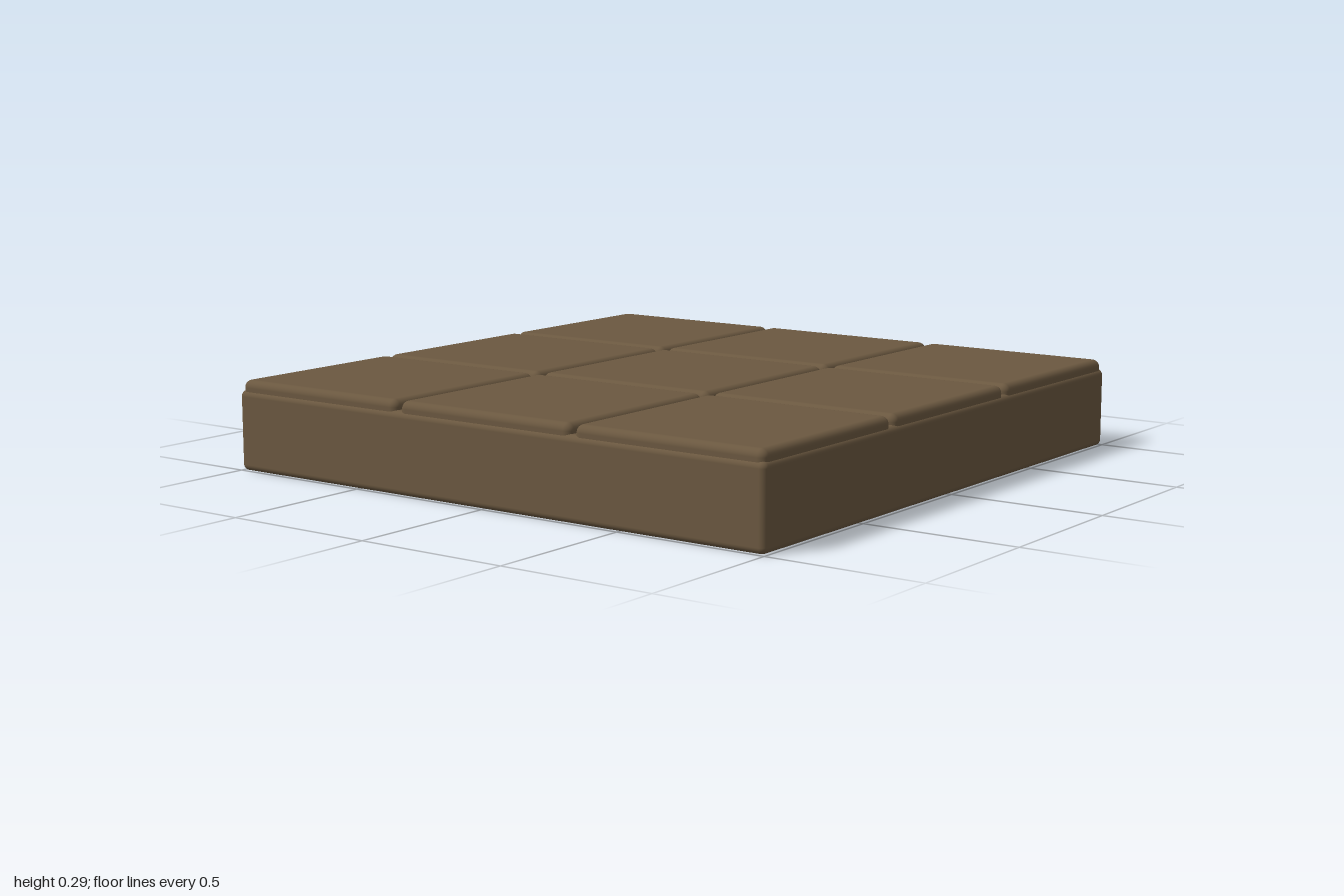
import * as THREE from 'three';
import { RoundedBoxGeometry } from 'three/addons/geometries/RoundedBoxGeometry.js';

export function createModel() {
  const model = new THREE.Group();
  model.name = 'tiledFloorSlab';

  const brown = new THREE.MeshStandardMaterial({ color: 0x6b5840 });
  brown.name = 'earthBrown';

  // Thick slab with softly rounded edges
  const slab = new THREE.Mesh(new RoundedBoxGeometry(2, 0.257, 2, 4, 0.02), brown);
  slab.name = 'slab';
  slab.position.y = 0.1285;
  model.add(slab);

  // Three by three paving tiles, sunk slightly into the slab
  const tiles = new THREE.Group();
  tiles.name = 'tiles';
  const pitch = 0.667, size = 0.652, height = 0.06, top = 0.289;
  const tileGeometry = new RoundedBoxGeometry(size, height, size, 4, 0.024);
  for (let row = -1; row <= 1; row++) {
    for (let column = -1; column <= 1; column++) {
      const tile = new THREE.Mesh(tileGeometry, brown);
      tile.name = 'tile';
      tile.position.set(column * pitch, top - height / 2, row * pitch);
      tiles.add(tile);
    }
  }
  model.add(tiles);

  return model;
}
